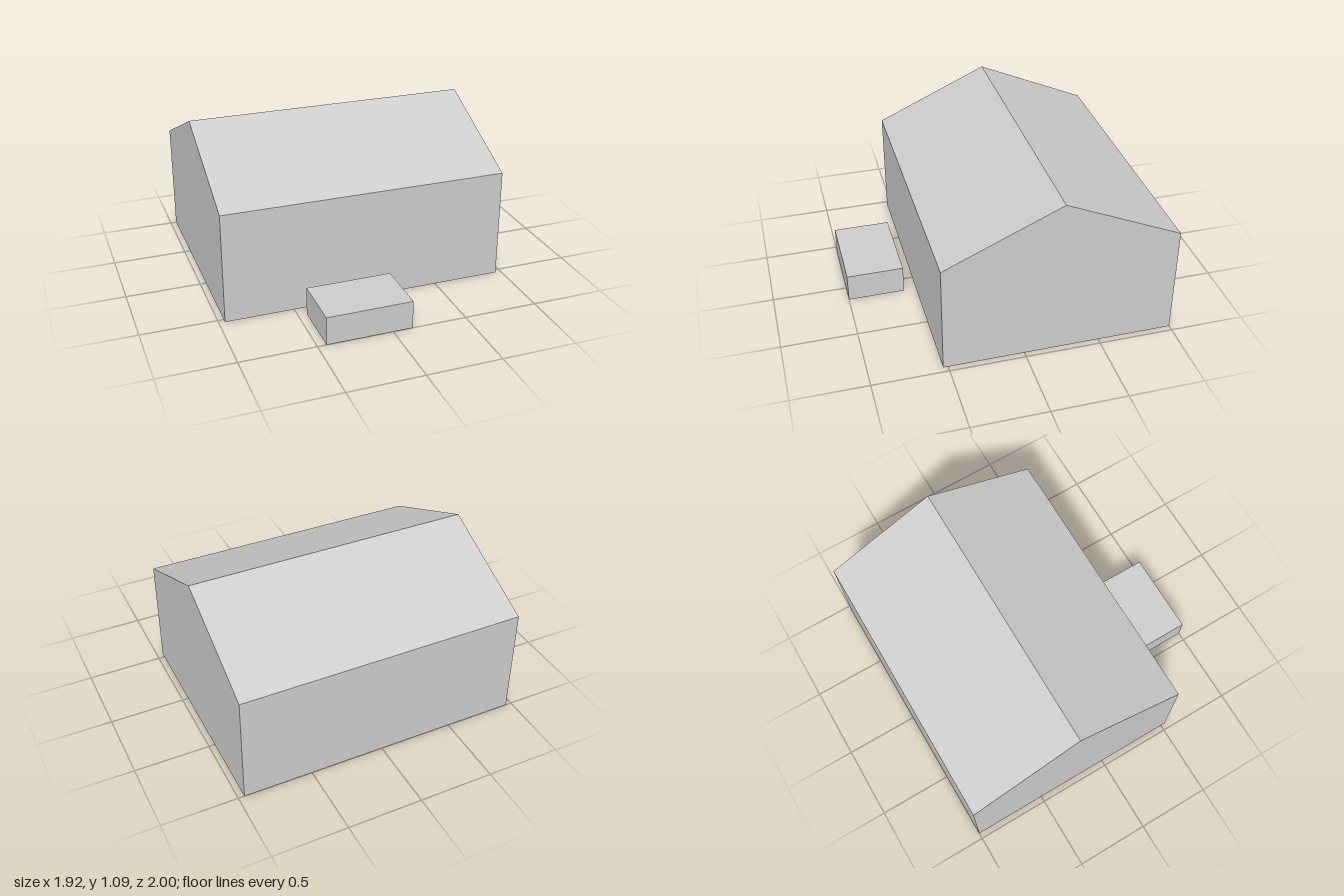
import * as THREE from 'three';

// Hollow shell with an open underside: a [z, y] profile swept from x0 to x1, closed by end walls.
// The profile runs from the front foot, over the top, to the back foot.
function openShell(profile, x0, x1) {
  const pos = [];
  const tri = (...corners) => corners.forEach(([x, [z, y]]) => pos.push(x, y, z));
  for (let i = 0; i < profile.length - 1; i++) {
    const p = profile[i], q = profile[i + 1];
    // front, top and back faces
    tri([x0, p], [x1, p], [x1, q]);
    tri([x0, p], [x1, q], [x0, q]);
    // end walls
    if (i > 0) {
      tri([x0, profile[0]], [x0, p], [x0, q]);
      tri([x1, profile[0]], [x1, q], [x1, p]);
    }
  }
  const geometry = new THREE.BufferGeometry();
  geometry.setAttribute('position', new THREE.Float32BufferAttribute(pos, 3));
  geometry.computeVertexNormals();
  return geometry;
}

export function createModel() {
  const group = new THREE.Group();
  group.name = 'building';

  const lightGrey = new THREE.MeshStandardMaterial({ color: 0xcccccc, side: THREE.DoubleSide });
  lightGrey.name = 'lightGrey';

  const add = (name, geometry) => {
    const mesh = new THREE.Mesh(geometry, lightGrey);
    mesh.name = name;
    group.add(mesh);
  };

  // Main hall with a gabled roof, ridge along x
  const front = 0.533, back = -1, eave = 0.747, ridge = 1.09;
  add('gabledHall', openShell(
    [[front, 0], [front, eave], [(front + back) / 2, ridge], [back, eave], [back, 0]], -0.96, 0.96));

  // Low flat-topped block standing in front
  add('frontBlock', openShell([[1, 0], [1, 0.192], [0.617, 0.192], [0.617, 0]], -0.442, 0.132));

  return group;
}
